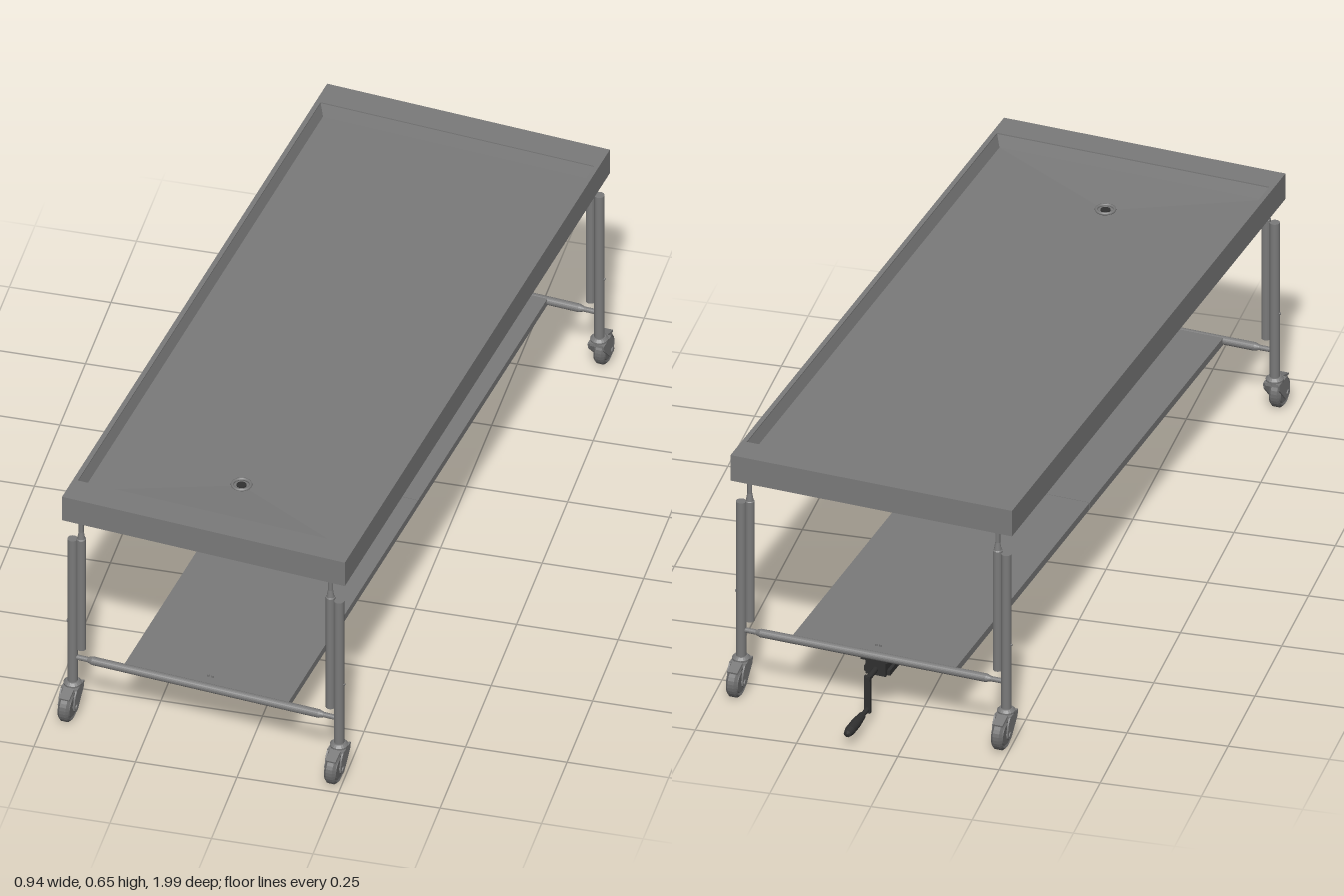
import * as THREE from 'three';

const mat = (name, color) => Object.assign(new THREE.MeshStandardMaterial({ color }), { name });

export function createModel() {
  const steel = mat('steel grey', 0x7a7a7a);
  const wheelGrey = mat('wheel grey', 0x6a6a6a);
  const dark = mat('crank dark grey', 0x303030);

  const root = new THREE.Group();
  root.name = 'wheeledTable';
  const table = new THREE.Group();
  table.name = 'tableAssembly';
  table.rotation.y = -0.123; // the table stands slightly turned
  table.position.z = 0.03;
  root.add(table);

  const add = (parent, name, geometry, material, x = 0, y = 0, z = 0) => {
    const m = new THREE.Mesh(geometry, material);
    m.name = name;
    m.position.set(x, y, z);
    parent.add(m);
    return m;
  };
  const box = (w, h, d) => new THREE.BoxGeometry(w, h, d);
  const cyl = (r1, r2, h, n = 20) => new THREE.CylinderGeometry(r1, r2, h, n);
  // lathe from [radius, height] pairs, each segment kept crisp
  const lathe = (pts, n = 20) => {
    const g = new THREE.LatheGeometry(pts.map(p => new THREE.Vector2(...p)), n).toNonIndexed();
    g.computeVertexNormals();
    return g;
  };
  const rectPath = (P, w, d) => {
    const p = new P();
    p.moveTo(-w, -d); p.lineTo(w, -d); p.lineTo(w, d); p.lineTo(-w, d); p.closePath();
    return p;
  };

  // Table tray: raised rim, flat underside and floor falling to the drain
  const W = 0.362, D = 0.877, w = 0.35, d = 0.803, drainZ = 0.625;
  const rimShape = rectPath(THREE.Shape, W, D);
  rimShape.holes.push(rectPath(THREE.Path, w, d));
  const rim = new THREE.ExtrudeGeometry(rimShape, { depth: 0.07, bevelEnabled: false });
  rim.rotateX(-Math.PI / 2);
  add(table, 'trayRim', rim, steel, 0, 0.578, 0);
  add(table, 'trayUnderside', box(2 * w, 0.012, 2 * d), steel, 0, 0.584, 0);

  const top = [[-w, -d], [-w, d], [w, d], [w, -d]];
  const verts = [];
  const e = 0.01, yLip = 0.645, yFloor = 0.615, yDrain = 0.603;
  for (let i = 0; i < 4; i++) {
    const [ax, az] = top[i], [bx, bz] = top[(i + 1) % 4];
    const inset = (x, z) => [x - Math.sign(x) * e, yFloor, z - Math.sign(z) * e];
    const a = [ax, yLip, az], b = [bx, yLip, bz], a2 = inset(ax, az), b2 = inset(bx, bz);
    verts.push(...a, ...b, ...b2, ...a, ...b2, ...a2, ...a2, ...b2, 0, yDrain, drainZ);
  }
  const floor = new THREE.BufferGeometry();
  floor.setAttribute('position', new THREE.Float32BufferAttribute(verts, 3));
  floor.computeVertexNormals();
  add(table, 'trayFloor', floor, steel);

  // Drain: strainer ring above, trap with side outlet below
  const ring = add(table, 'drainRing', new THREE.TorusGeometry(0.022, 0.004, 8, 24), steel, 0, 0.606, drainZ);
  ring.rotation.x = Math.PI / 2;
  add(table, 'drainHole', cyl(0.012, 0.012, 0.006), dark, 0, 0.603, drainZ);
  add(table, 'drainTrap', lathe([
    [0, 0.47], [0.018, 0.47], [0.02, 0.473], [0.02, 0.488], [0.016, 0.49], [0.016, 0.5],
    [0.019, 0.56], [0.022, 0.56], [0.022, 0.57], [0.031, 0.572], [0.031, 0.579],
  ]), steel, 0, 0, drainZ);
  add(table, 'drainTrapBand', cyl(0.0205, 0.0205, 0.012), dark, 0, 0.481, drainZ);
  const outlet = add(table, 'drainOutlet', lathe([
    [0.007, 0], [0.007, 0.035], [0.012, 0.035], [0.012, 0.048], [0, 0.048],
  ]), steel, 0, 0.536, drainZ);
  outlet.rotation.x = -Math.PI / 2;

  // Caster fork cheek, drawn in the z-y plane
  const cheek = new THREE.Shape();
  cheek.moveTo(-0.024, 0.084);
  cheek.lineTo(0.024, 0.084);
  cheek.quadraticCurveTo(0.044, 0.07, 0.04, 0.035);
  cheek.quadraticCurveTo(0.028, 0.018, 0.016, 0.03);
  cheek.lineTo(-0.02, 0.068);
  cheek.closePath();
  const cheekGeo = new THREE.ExtrudeGeometry(cheek, { depth: 0.004, bevelEnabled: false });
  cheekGeo.rotateY(-Math.PI / 2);
  cheekGeo.translate(0.002, 0, 0);
  const wheelGeo = lathe([
    [0, -0.014], [0.026, -0.014], [0.028, -0.011], [0.034, -0.014], [0.04, -0.008],
    [0.04, 0.008], [0.034, 0.014], [0.028, 0.011], [0.026, 0.014], [0, 0.014],
  ], 28);
  wheelGeo.rotateZ(Math.PI / 2);

  // Four legs, each with a fixed column, a lifting column and a caster
  for (const sz of [1, -1]) {
    for (const sx of [1, -1]) {
      const leg = new THREE.Group();
      leg.name = (sz > 0 ? 'front' : 'back') + (sx > 0 ? 'Left' : 'Right') + 'Leg';
      leg.position.set(sx * 0.341, 0, sz * 0.861);
      table.add(leg);
      add(leg, 'legColumn', cyl(0.0125, 0.0125, 0.428), steel, 0, 0.304, 0);
      add(leg, 'liftingColumn', lathe([
        [0, 0.195], [0.0115, 0.195], [0.0115, 0.523], [0.0095, 0.525], [0.006, 0.545],
        [0.006, 0.572], [0.011, 0.574], [0.011, 0.579],
      ]), steel, -sx * 0.022, 0, 0);
      add(leg, 'columnBolt', cyl(0.003, 0.003, 0.03, 8), steel, 0, 0.27, 0).rotation.z = Math.PI / 2;

      const caster = new THREE.Group();
      caster.name = 'caster';
      caster.rotation.y = sz > 0 ? 0 : Math.PI;
      leg.add(caster);
      add(caster, 'casterCollar', lathe([
        [0, 0.078], [0.021, 0.078], [0.022, 0.09], [0.016, 0.096], [0, 0.096],
      ]), steel);
      add(caster, 'casterCrown', box(0.042, 0.008, 0.046), steel, 0, 0.081, 0.002);
      for (const s of [1, -1]) add(caster, 'casterFork', cheekGeo, steel, s * 0.019, 0, 0);
      add(caster, 'casterWheel', wheelGeo, wheelGrey, 0, 0.04, 0.03);
      add(caster, 'casterAxle', cyl(0.007, 0.007, 0.048, 12), steel, 0, 0.04, 0.03).rotation.z = Math.PI / 2;
      add(caster, 'brakeLever', box(0.026, 0.005, 0.036), steel, 0, 0.08, 0.04).rotation.x = 0.3;
    }

    // Crossbar with stepped ends between the legs
    const bar = add(table, 'crossbar', lathe([
      [0.0065, -0.335], [0.0065, -0.302], [0.0105, -0.29],
      [0.0105, 0.29], [0.0065, 0.302], [0.0065, 0.335],
    ]), steel, 0, 0.166, sz * 0.861);
    bar.rotation.z = Math.PI / 2;

    // Shelf half and its pegs
    add(table, 'shelfHalf', box(0.42, 0.019, 0.8635), steel, 0, 0.1655, sz * 0.4325);
    for (const s of [1, -1]) add(table, 'shelfPeg', cyl(0.003, 0.003, 0.006, 8), steel, s * 0.006, 0.178, sz * 0.83);
  }

  // Crank drive under the shelf at the back
  const crank = new THREE.Group();
  crank.name = 'crankDrive';
  crank.position.z = -0.81;
  table.add(crank);
  add(crank, 'gearFlange', box(0.07, 0.007, 0.1), dark, 0, 0.152, 0);
  add(crank, 'gearBox', box(0.052, 0.044, 0.08), dark, 0, 0.128, 0);
  add(crank, 'gearFoot', box(0.068, 0.014, 0.06), dark, 0, 0.113, 0);
  add(crank, 'crankShaft', cyl(0.007, 0.007, 0.065, 12), dark, 0, 0.122, -0.065).rotation.x = Math.PI / 2;
  add(crank, 'crankArm', box(0.016, 0.1, 0.009), dark, 0, 0.08, -0.09);
  const handle = add(crank, 'crankHandle', lathe([
    [0, 0], [0.006, 0], [0.006, 0.035], [0.009, 0.037], [0.0125, 0.075],
    [0.0125, 0.115], [0.009, 0.133], [0, 0.136],
  ]), dark, 0, 0.04, -0.088);
  handle.rotation.x = -Math.PI / 2;

  return root;
}
